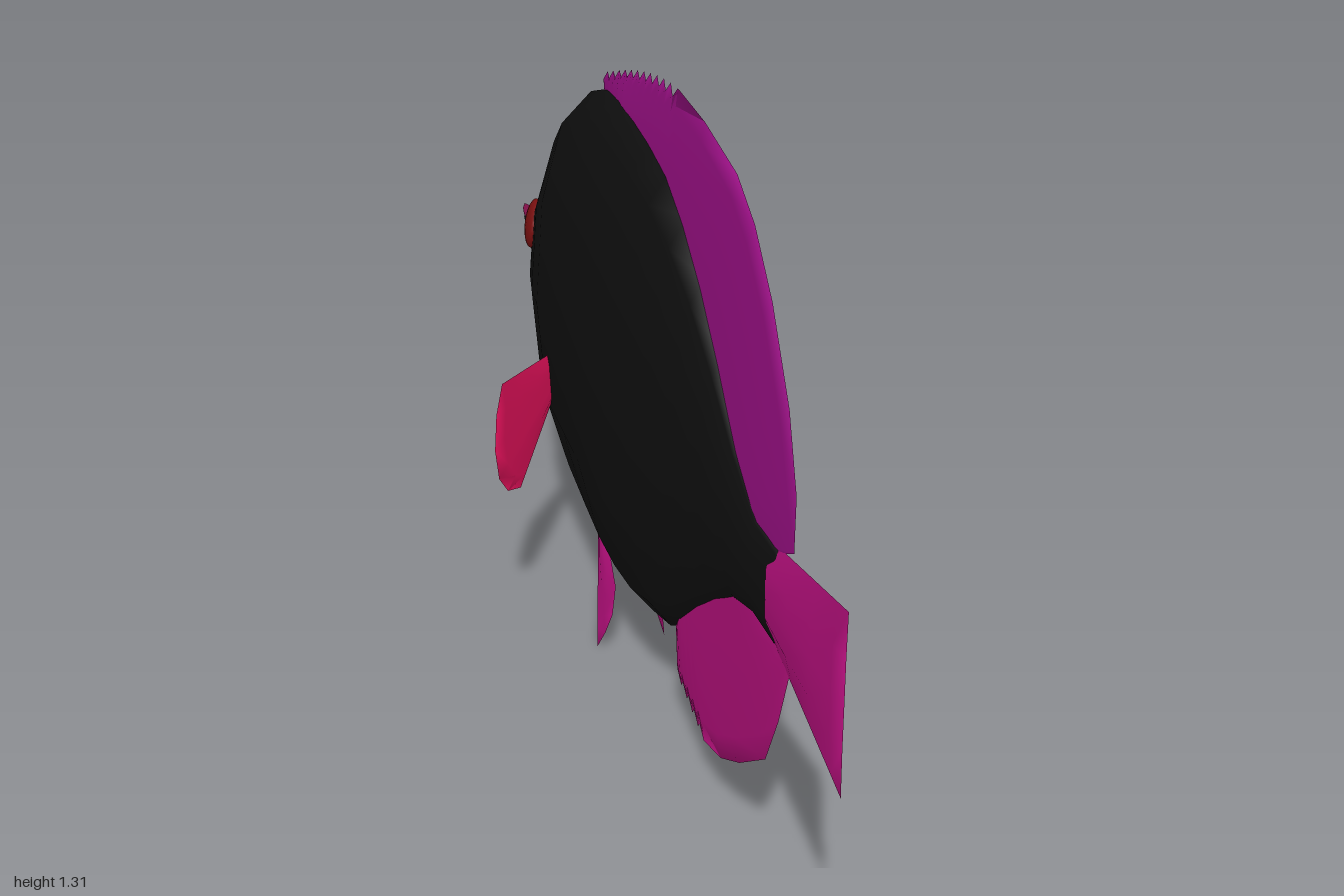
import * as THREE from 'three';

const V = (x, y, z) => new THREE.Vector3(x, y, z);
const mat = (name, color, side = THREE.FrontSide) => {
  const m = new THREE.MeshStandardMaterial({ color, side });
  m.name = name;
  return m;
};

// Smooth loft through elliptical stations [z, top, bottom, half width]
function loft(stations, sides) {
  const pos = [], idx = [];
  for (const [z, top, bottom, w] of stations) {
    for (let j = 0; j < sides; j++) {
      const a = (j / sides) * Math.PI * 2;
      pos.push(w * Math.cos(a), (top + bottom) / 2 + ((top - bottom) / 2) * Math.sin(a), z);
    }
  }
  for (let i = 0; i < stations.length - 1; i++) {
    for (let j = 0; j < sides; j++) {
      const a = i * sides + j, b = i * sides + (j + 1) % sides;
      idx.push(a, b + sides, b, a, a + sides, b + sides);
    }
  }
  // stations run from +z to -z
  return finish(pos, idx);
}

function finish(pos, idx) {
  const g = new THREE.BufferGeometry();
  g.setAttribute('position', new THREE.Float32BufferAttribute(pos, 3));
  g.setIndex(idx);
  g.computeVertexNormals();
  return g;
}

// Thin lens-shaped fin between a base line and an outer edge
function finGeometry(base, outer, axis, halfWidth) {
  const rows = [0, 0.3, 0.6, 0.85, 1, 0.85, 0.6, 0.3, 0];
  const curve = new THREE.CatmullRomCurve3(base);
  const along = [0];
  for (let i = 1; i < outer.length; i++) along.push(along[i - 1] + outer[i].distanceTo(outer[i - 1]));
  const pos = [], idx = [], n = rows.length;
  outer.forEach((tip, i) => {
    const u = along[i] / along[along.length - 1];
    const root = curve.getPointAt(u);
    const taper = Math.max(0, Math.min(1, 8 * u, 8 * (1 - u)));
    rows.forEach((t, j) => {
      const side = Math.sign(4 - j);
      const p = root.clone().lerp(tip, t).addScaledVector(axis, side * halfWidth * taper * (1 - t * t));
      pos.push(p.x, p.y, p.z);
    });
    if (i === 0) return;
    for (let j = 0; j < n - 1; j++) {
      const a = (i - 1) * n + j, b = i * n + j;
      idx.push(a, a + 1, b + 1, a, b + 1, b);
    }
  });
  return finish(pos, idx);
}

export function createModel() {
  const group = new THREE.Group();
  const black = mat('bodyBlack', 0x0f0f0f);
  const purple = mat('dorsalPurple', 0x9c1086, THREE.DoubleSide);
  const magenta = mat('finMagenta', 0xb8107e, THREE.DoubleSide);
  const crimson = mat('pectoralCrimson', 0xde1058, THREE.DoubleSide);
  const red = mat('eyeRed', 0x781010);
  const lip = mat('lipPlum', 0x801048);

  const add = (name, geometry, material, parent = group) => {
    const m = new THREE.Mesh(geometry, material);
    m.name = name;
    parent.add(m);
    return m;
  };
  const yz = (list) => list.map(([z, y]) => V(0, y, z));
  const X = V(1, 0, 0);

  // Body, tail root to snout
  add('body', loft([
    [0.73, 0.65, 0.65, 0], [0.72, 0.69, 0.61, 0.008], [0.69, 0.745, 0.553, 0.013],
    [0.6, 0.75, 0.555, 0.022], [0.5, 0.83, 0.52, 0.034], [0.4, 0.94, 0.45, 0.047],
    [0.3, 1.035, 0.37, 0.061], [0.2, 1.105, 0.28, 0.075], [0.1, 1.15, 0.215, 0.088],
    [0, 1.165, 0.18, 0.1], [-0.1, 1.17, 0.17, 0.108], [-0.2, 1.165, 0.175, 0.113],
    [-0.3, 1.14, 0.193, 0.115], [-0.43, 1.085, 0.22, 0.116], [-0.52, 1, 0.275, 0.104],
    [-0.62, 0.885, 0.36, 0.083], [-0.7, 0.765, 0.45, 0.062], [-0.75, 0.695, 0.505, 0.046],
    [-0.82, 0.655, 0.54, 0.033], [-0.9, 0.617, 0.572, 0.021], [-0.95, 0.606, 0.585, 0.014],
    [-0.96, 0.597, 0.597, 0],
  ], 12), black);

  // Lips
  add('upperLip', loft([[0.03, 0.008, -0.006, 0.013], [0, 0.007, -0.004, 0.014],
    [-0.03, 0.007, -0.002, 0.009], [-0.05, 0.003, 0.003, 0]], 10), lip).position.set(0, 0.601, -0.95);
  add('lowerLip', loft([[0.03, 0.004, -0.006, 0.013], [0, 0.004, -0.006, 0.012],
    [-0.02, 0.004, -0.004, 0.007], [-0.03, 0, 0, 0]], 10), lip).position.set(0, 0.588, -0.95);

  // Dorsal fin with a serrated front edge
  const dorsal = [[0.69, 0.735], [0.76, 0.775], [0.763, 0.88], [0.72, 1.01], [0.63, 1.15],
    [0.54, 1.24], [0.45, 1.287], [0.28, 1.307]];
  for (let k = 0; k <= 11; k++) {
    const y = 1.307 - 0.137 * Math.pow(k / 11, 1.4), z = 0.13 - k * 0.04;
    dorsal.push([z, y], [z - 0.03, y - 0.026]);
  }
  dorsal.push([-0.33, 1.11]);
  add('dorsalFin', finGeometry(
    yz([[0.67, 0.71], [0.58, 0.72], [0.4, 0.9], [0.2, 1.06], [0, 1.12], [-0.2, 1.12], [-0.33, 1.09]]),
    yz(dorsal), X, 0.012), purple);

  // Anal fin, also serrated toward the front
  const anal = [[0.69, 0.555], [0.755, 0.54], [0.71, 0.42], [0.65, 0.3], [0.515, 0.195], [0.41, 0.13]];
  for (let k = 0; k < 5; k++) {
    const z = 0.31 - k * 0.035, y = 0.098 + k * 0.007;
    anal.push([z, y], [z - 0.026, y + 0.02]);
  }
  anal.push([0.135, 0.22]);
  add('analFin', finGeometry(
    yz([[0.68, 0.58], [0.58, 0.58], [0.4, 0.48], [0.25, 0.36], [0.135, 0.24]]),
    yz(anal), X, 0.012), magenta);

  // Tail fin
  add('tailFin', finGeometry(
    yz([[0.67, 0.74], [0.67, 0.65], [0.67, 0.555]]),
    yz([[1, 0.82], [0.998, 0.735], [0.998, 0.65], [0.998, 0.565], [1, 0.478]]), X, 0.015), magenta);

  // Paired fins and eyes, mirrored across x
  const pec = ([x, y]) => V(x, y, -0.38 + (x - 0.11) * 1.44);
  const pectoral = finGeometry(
    [[0.095, 0.555], [0.095, 0.5], [0.095, 0.45]].map(pec),
    [[0.245, 0.62], [0.264, 0.57], [0.271, 0.5], [0.262, 0.43], [0.238, 0.38], [0.2, 0.35]].map(pec),
    V(1.44, 0, -1).normalize(), 0.006);
  const pel = ([z, y]) => V(0.03 + (0.2 - y) * 0.2, y, z);
  const pelvic = finGeometry(
    [[-0.31, 0.205], [-0.29, 0.215], [-0.265, 0.22]].map(pel),
    [[-0.175, 0], [-0.148, 0.05], [-0.131, 0.1], [-0.145, 0.155]].map(pel),
    V(1, 0.2, 0).normalize(), 0.006);
  for (const [label, s] of [['left', 1], ['right', -1]]) {
    const half = new THREE.Group();
    half.name = label + 'SideParts';
    half.scale.x = s;
    group.add(half);
    add(label + 'PectoralFin', pectoral, crimson, half);
    add(label + 'PelvicFin', pelvic, magenta, half);
    const eye = add(label + 'Eye', new THREE.SphereGeometry(0.05, 16, 12), red, half);
    eye.scale.x = 0.36;
    eye.position.set(0.071, 0.733, -0.625);
    eye.rotation.set(0, 0.25, 0.15);
  }
  return group;
}
